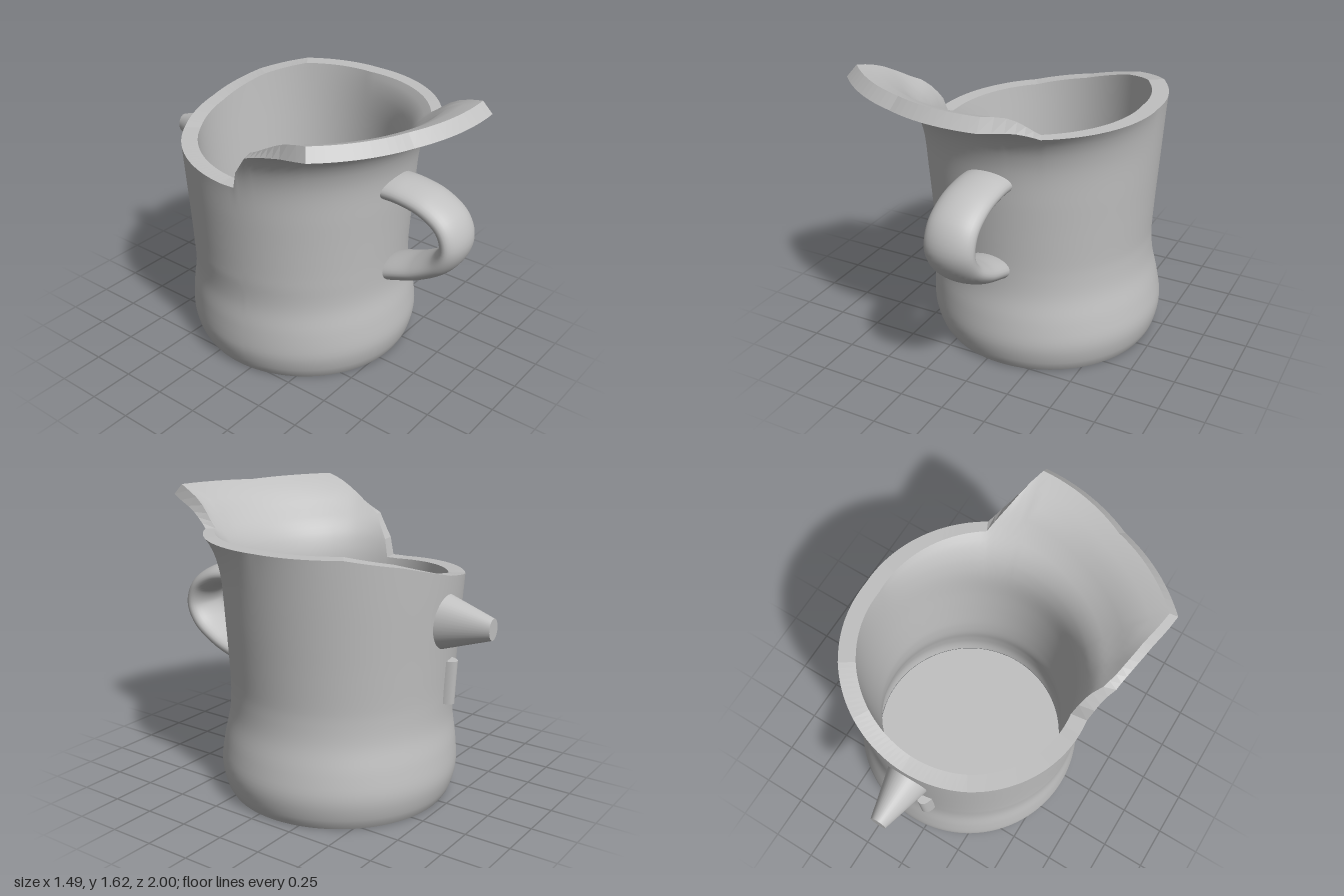
import * as THREE from 'three';

const clay = new THREE.MeshStandardMaterial({ color: 0xc0c0c0 });
clay.name = 'plain grey';

const STEPS = 144, CZ = -0.09, WALL = 0.09, FLOOR = 0.1;

// Piecewise linear lookup in [key, value] pairs
function lookup(keys, k) {
  for (let i = 1; i < keys.length; i++) {
    if (k <= keys[i][0]) {
      const [a, b] = [keys[i - 1], keys[i]];
      return THREE.MathUtils.lerp(a[1], b[1], Math.max(0, (k - a[0]) / (b[0] - a[0])));
    }
  }
  return keys[keys.length - 1][1];
}

// Smooth curve through [y, radius] points, sampled into a lookup table
function smoothKeys(points) {
  const curve = new THREE.SplineCurve(points.map(([a, b]) => new THREE.Vector2(a, b)));
  return curve.getPoints(120).map((p) => [p.x, p.y]);
}

const plainWall = smoothKeys([[0, 0.612], [0.05, 0.638], [0.16, 0.66], [0.3, 0.647], [0.45, 0.622],
  [0.6, 0.62], [0.8, 0.63], [1, 0.643], [1.2, 0.656], [1.42, 0.668], [1.6, 0.675]]);
// Extra radius where the wall flares into the pouring lip
const flare = smoothKeys([[1, 0], [1.15, 0], [1.25, 0.012], [1.34, 0.042], [1.42, 0.1],
  [1.49, 0.205], [1.53, 0.31], [1.57, 0.43]]);
// Rim height by angle in degrees; 0 is the front and 90 is +x
const rimHeight = [[-180, 1.28], [-150, 1.22], [-120, 1.2], [-90, 1.18], [-82.5, 1.18], [-80, 1.28],
  [-72.5, 1.41], [-50, 1.55], [-20, 1.54], [10, 1.56], [25, 1.42], [125, 1.42], [150, 1.37], [180, 1.28]];
const flareAmount = [[-130, 0], [-85, 0.8], [-60, 1], [25, 1], [85, 0.1], [120, 0]];
const middleX = [[0, 0.078], [0.2, 0.073], [0.6, 0.045], [1.6, 0.04]];

const degrees = (i) => (i / STEPS) * 360 - 180;
const radius = (deg, y) => lookup(plainWall, y) + lookup(flare, y) * lookup(flareAmount, deg);

function place(deg, r, y, centre = y) {
  const a = THREE.MathUtils.degToRad(deg);
  return [lookup(middleX, centre) + r * Math.sin(a), y, CZ + r * Math.cos(a)];
}

const outerPoint = (deg, y) => place(deg, radius(deg, y), y);

// Outer wall moved inwards along its slope
function innerPoint(deg, y) {
  const slope = (radius(deg, y + 0.01) - radius(deg, y - 0.01)) / 0.02;
  const angle = Math.atan(Math.max(0, slope));
  const rise = WALL * 0.7 * Math.sin(angle) * THREE.MathUtils.smoothstep(y, 1.4, 1.54);
  return place(deg, radius(deg, y) - WALL * Math.max(0.6, Math.cos(angle)), y + rise, y);
}

// Closed ring surface; point(deg, t) gives the position at row t from 0 to 1
function ringSurface(name, rows, point, flat = false) {
  const positions = [], index = [];
  for (let j = 0; j <= rows; j++) {
    for (let i = 0; i < STEPS; i++) positions.push(...point(degrees(i), j / rows));
  }
  for (let j = 0; j < rows; j++) {
    for (let i = 0; i < STEPS; i++) {
      const a = j * STEPS + i, b = j * STEPS + ((i + 1) % STEPS);
      index.push(a, b, b + STEPS, a, b + STEPS, a + STEPS);
    }
  }
  let geometry = new THREE.BufferGeometry();
  geometry.setAttribute('position', new THREE.Float32BufferAttribute(positions, 3));
  geometry.setIndex(index);
  if (flat) geometry = geometry.toNonIndexed();
  geometry.computeVertexNormals();
  return part(name, geometry);
}

function part(name, geometry) {
  const mesh = new THREE.Mesh(geometry, clay);
  mesh.name = name;
  return mesh;
}

// Jug wall, rim, inside and both floors
function makeBody() {
  const body = new THREE.Group();
  body.name = 'jugBody';
  const top = (deg) => lookup(rimHeight, deg);
  const mix = THREE.MathUtils.lerp;
  body.add(
    ringSurface('outerWall', 48, (d, t) => outerPoint(d, top(d) * t)),
    ringSurface('innerWall', 48, (d, t) => innerPoint(d, mix(top(d), FLOOR, t))),
    ringSurface('rim', 1, (d, t) => (t ? innerPoint(d, top(d)) : outerPoint(d, top(d))), true),
    ringSurface('base', 1, (d, t) => place(d, radius(d, 0) * t, 0)),
    ringSurface('insideFloor', 1, (d, t) => place(d, (radius(d, FLOOR) - WALL) * (1 - t), FLOOR)),
  );
  return body;
}

// Wide strap handle with an oval section
function makeHandle() {
  const handle = new THREE.Group();
  handle.name = 'handle';
  const r = 0.065;
  const path = new THREE.CatmullRomCurve3([[0.52, 1.11], [0.63, 1.11], [0.78, 1.08], [0.895, 1.005],
    [0.932, 0.9], [0.885, 0.795], [0.75, 0.7], [0.58, 0.635]].map(([z, y]) => new THREE.Vector3(0, y, z)));
  handle.add(part('handleStrap', new THREE.TubeGeometry(path, 48, r, 32)));
  const cap = part('handleEnd', new THREE.CircleGeometry(r, 32));
  cap.position.copy(path.getPoint(1));
  cap.lookAt(path.getPoint(1).add(path.getTangent(1)));
  handle.add(cap);
  handle.scale.x = 0.14 / r;
  handle.position.x = 0.04;
  return handle;
}

export function createModel() {
  const model = new THREE.Group();
  model.name = 'jug';
  model.add(makeBody(), makeHandle());

  // Tapered peg sticking out of the back
  const peg = part('backPeg', new THREE.CylinderGeometry(0.057, 0.157, 0.3, 40));
  peg.rotation.x = -Math.PI / 2;
  peg.scale.x = 0.79;
  peg.position.set(0.042, 1.04, -0.85);
  model.add(peg);

  // Small upright bar set into the wall below the peg
  const bar = part('backBar', new THREE.CylinderGeometry(0.045, 0.045, 0.24, 32));
  bar.scale.z = 1.75;
  bar.rotation.x = -0.05;
  bar.position.set(-0.04, 0.69, -0.678);
  model.add(bar);
  return model;
}
